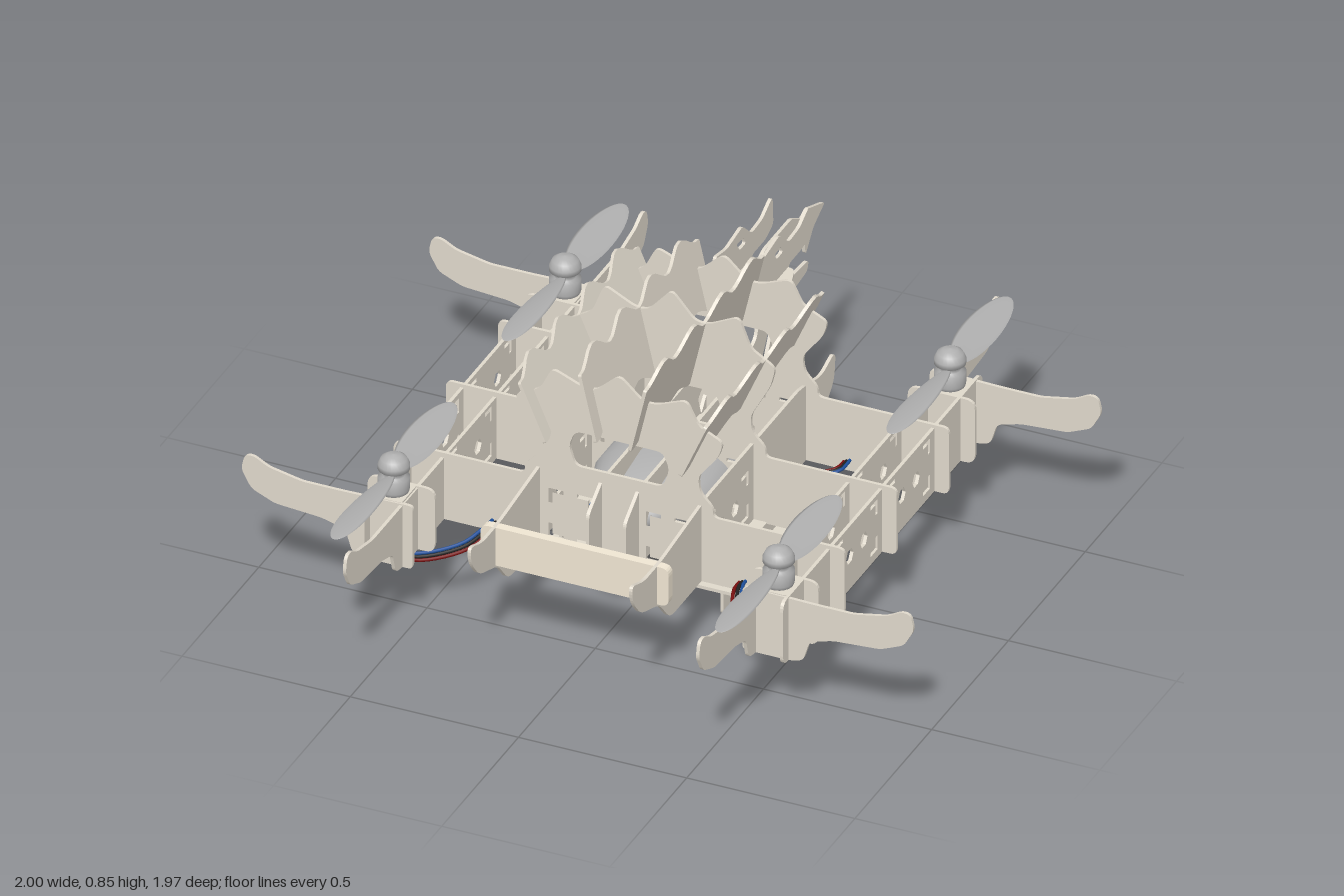
import * as THREE from 'three';

const mat = (color) => new THREE.MeshStandardMaterial({ color });
const wood = mat(0xdfd8cb), cream = mat(0xefe5d2), metal = mat(0xb0b0b0), dark = mat(0x555555);
const red = mat(0x7a1010), black = mat(0x222222), blue = mat(0x1c4f9c);
const T = 0.01;

// Closed outline with softened corners
function outline(pts, r = 0.015, Kind = THREE.Shape) {
  const s = new Kind();
  const v = pts.map((p) => new THREE.Vector2(...p));
  v.forEach((c, i) => {
    const a = v[(i + v.length - 1) % v.length], b = v[(i + 1) % v.length];
    const p = c.clone().lerp(a, Math.min(0.5, r / c.distanceTo(a)));
    const q = c.clone().lerp(b, Math.min(0.5, r / c.distanceTo(b)));
    if (i) s.lineTo(p.x, p.y); else s.moveTo(p.x, p.y);
    s.quadraticCurveTo(c.x, c.y, q.x, q.y);
  });
  s.closePath();
  return s;
}
const hole = (pts, r = 0.002) => outline(pts, r, THREE.Path);
const mirrorPts = (pts) => [...pts, ...pts.filter((p) => p[0] !== 0).reverse().map(([x, y]) => [-x, y])];

// Flat sheet: 'x' lies in zy, 'y' lies in xz, 'z' lies in xy
function sheet(name, pts, axis, at, { holes = [], r, t = T, m = wood } = {}) {
  const s = outline(pts, r);
  s.holes.push(...holes);
  const g = new THREE.ExtrudeGeometry(s, { depth: t, bevelEnabled: false, curveSegments: 5 });
  g.translate(0, 0, -t / 2);
  if (axis === 'x') g.rotateY(-Math.PI / 2);
  if (axis === 'y') g.rotateX(Math.PI / 2);
  const mesh = new THREE.Mesh(g, m);
  mesh.name = name;
  mesh.position[axis] = at;
  return mesh;
}
const rect = (a, b, c, d) => [[a, c], [b, c], [b, d], [a, d]];

// L-shaped corner slots and optional hexagons inside a window
function slots(a, b, c, d, hexes = true) {
  const out = [], L = 0.045, w = 0.012;
  for (const [x, sx] of [[a, 1], [b, -1]]) for (const [y, sy] of [[c, 1], [d, -1]]) {
    out.push(hole([[0, 0], [L, 0], [L, w], [w, w], [w, L], [0, L]].map(([u, v]) => [x + u * sx, y + v * sy])));
  }
  if (hexes) for (const f of [0.33, 0.67]) {
    out.push(hole(Array.from({ length: 6 }, (_, i) => [
      a + (b - a) * f + 0.024 * Math.cos(i * Math.PI / 3), (c + d) / 2 + 0.024 * Math.sin(i * Math.PI / 3)])));
  }
  return out;
}

function cable(name, pts, radius, m) {
  const curve = new THREE.CatmullRomCurve3(pts.map((p) => new THREE.Vector3(...p)));
  const mesh = new THREE.Mesh(new THREE.TubeGeometry(curve, 40, radius, 6), m);
  mesh.name = name;
  return mesh;
}

// Upswept claw edge shared by the corner plates, from tip to foot
const claw = [[0.7, 0.385], [0.82, 0.385], [0.92, 0.405], [0.965, 0.43], [0.99, 0.425], [1, 0.38], [0.97, 0.325],
  [0.9, 0.295], [0.76, 0.285], [0.69, 0.265], [0.67, 0.2], [0.63, 0.19]];

function propeller() {
  const g = new THREE.Group();
  g.name = 'rotor';
  for (const s of [0, 1]) {
    const geo = new THREE.SphereGeometry(1, 12, 20).rotateX(Math.PI / 2);
    const p = geo.attributes.position;
    for (let i = 0; i < p.count; i++) {
      const k = (p.getZ(i) + 1) / 2, a = 0.5 - 0.35 * k;
      const x = p.getX(i) * 0.05, y = p.getY(i) * 0.004;
      p.setXYZ(i, x * Math.cos(a) - y * Math.sin(a), x * Math.sin(a) + y * Math.cos(a), 0.02 + k * 0.365);
    }
    geo.computeVertexNormals();
    const blade = new THREE.Mesh(geo, metal);
    blade.name = 'propellerBlade';
    blade.rotation.y = s * Math.PI;
    blade.position.y = 0.45;
    g.add(blade);
  }
  const prof = [[0, 0.385], [0.04, 0.385], [0.044, 0.4], [0.044, 0.435], [0.03, 0.44], [0.03, 0.455], [0.044, 0.46],
    [0.044, 0.475], [0.036, 0.492], [0.02, 0.502], [0, 0.505]];
  const motor = new THREE.Mesh(new THREE.LatheGeometry(prof.map((p) => new THREE.Vector2(...p)), 24), metal);
  motor.name = 'motorAndSpinner';
  g.add(motor);
  return g;
}

export function createModel() {
  const model = new THREE.Group();
  const add = (...o) => model.add(...o);

  // Cross frames, each rising into a spiked arch over the back
  for (const [z, k] of [[-0.34, 0.8], [0, 1], [0.34, 0.8]]) {
    const crown = [[0, 0.86], [0.07, 0.78], [0.11, 0.78], [0.2, 0.825], [0.235, 0.735], [0.31, 0.69], [0.295, 0.63]]
      .map(([x, y]) => [x, 0.46 + (y - 0.46) * k]);
    const half = [...crown, [0.235, 0.52], [0.24, 0.47], [0.28, 0.43], [0.28, 0.4], [0.67, 0.4], [0.67, 0.19]];
    add(sheet('crossFrame', mirrorPts(half), 'z', z, {
      r: 0.02,
      holes: [hole([[-0.13, 0.46], [0.13, 0.46], [0.15, 0.52], [0.13, 0.57], [-0.13, 0.57], [-0.15, 0.52]], 0.02),
        ...slots(0.08, 0.21, 0.215, 0.37, false), ...slots(-0.21, -0.08, 0.215, 0.37, false)],
    }));
  }

  for (const s of [-1, 1]) {
    // Outer and inner side rails
    const windows = () => [...slots(0.035, 0.305, 0.215, 0.375), ...slots(-0.305, -0.035, 0.215, 0.375)];
    add(sheet('outerSideRail', rect(-0.65, 0.65, 0.19, 0.39), 'x', s * 0.622, { holes: windows(), r: 0.03 }));
    add(sheet('innerSideRail', mirrorPts(claw.map(([z, y]) => [z * 0.985, y])), 'x', s * 0.525, { holes: windows() }));

    // Hull sides with upturned ends, and landing skids
    add(sheet('hullSide', [[-0.36, 0.19], [0.55, 0.19], [0.62, 0.27], [0.74, 0.31], [0.79, 0.37], [0.8, 0.43],
      [0.72, 0.4], [0.6, 0.4], [0.3, 0.435], [-0.3, 0.435], [-0.44, 0.4], [-0.53, 0.43], [-0.52, 0.34], [-0.44, 0.27]],
    'x', s * 0.24, { r: 0.03, holes: slots(0.04, 0.3, 0.22, 0.37) }));
    add(sheet('landingSkid', rect(-0.21, 0.2, 0, 0.19), 'x', s * 0.24));

    // Neck and face plates sweeping up at the rear
    add(sheet('neckPlate', [[0.36, 0.19], [0.43, 0.25], [0.43, 0.37], [0.34, 0.43], [-0.3, 0.43], [-0.42, 0.48],
      [-0.45, 0.56], [-0.4, 0.63], [-0.395, 0.725], [-0.47, 0.71], [-0.57, 0.725], [-0.63, 0.67], [-0.7, 0.675],
      [-0.765, 0.71], [-0.77, 0.62], [-0.72, 0.6], [-0.63, 0.6], [-0.63, 0.55], [-0.76, 0.54], [-0.75, 0.51],
      [-0.66, 0.5], [-0.59, 0.42], [-0.53, 0.29], [-0.4, 0.19]], 'x', s * 0.055, {
      holes: [hole([[-0.53, 0.69], [-0.55, 0.66], [-0.59, 0.66], [-0.58, 0.685]], 0.01),
        hole([[-0.4, 0.27], [-0.47, 0.35], [-0.53, 0.46], [-0.5, 0.47], [-0.45, 0.39], [-0.39, 0.32]], 0.01),
        hole([[-0.3, 0.28], [-0.36, 0.35], [-0.35, 0.39], [-0.28, 0.34]], 0.01)],
    }));

    // Scalloped back plates, leaning outward
    for (const [x, y, h, tilt] of [[0.2, 0.535, 0.215, 0.41], [0.05, 0.575, 0.235, 0.226]]) {
      const top = [], bottom = [];
      for (let i = 0; i <= 32; i++) {
        const z = -0.38 + i * 0.77 / 32, c = Math.cos((z - 0.1) * 2 * Math.PI / 0.188);
        top.push([z, h + 0.024 * c]);
        bottom.unshift([z, 0.02 + 0.018 * c]);
      }
      const holder = new THREE.Group();
      holder.name = 'scallopedBackPlate';
      holder.position.set(s * x, y, 0);
      holder.rotation.z = -s * tilt;
      holder.add(sheet('backPlate', [...top, ...bottom], 'x', 0, { r: 0.006 }));
      add(holder);
    }

    // Corner claws, motor mounts, rotors and motor leads
    for (const e of [-1, 1]) {
      add(sheet('cornerClaw', [[0.49, 0.19], [0.49, 0.39], ...claw].map(([x, y]) => [x * s, y]), 'z', e * 0.61));
      add(sheet('mountPlate', rect(0.47, 0.67, 0.19, 0.39).map(([x, y]) => [x * s, y]), 'z', e * 0.51, { r: 0.03 }));
      add(sheet('motorSeat', rect(0.525, 0.622, 0.51, 0.61).map(([x, z]) => [x * s, z * e]), 'y', 0.385));
      const rotor = propeller();
      rotor.position.set(s * 0.572, 0, e * 0.558);
      add(rotor);
      [red, black, blue].forEach((m, i) => {
        const o = (i - 1) * 0.009;
        add(cable('motorLead', [[0.57, 0.38, 0.56], [0.57, 0.2, 0.555], [0.53, 0.172, 0.53], [0.41, 0.195, 0.46],
          [0.37, 0.22, 0.38], [0.36, 0.215, 0.29], [0.3, 0.21, 0.25], [0.2, 0.21, 0.245], [0.165, 0.215, 0.2],
          [0.16, 0.22, 0.08]].map(([x, y, z]) => [s * (x + o), y + o * 0.4, e * (z - o)]), 0.005, m));
      });
    }
  }

  // Head centre with pointed snout, and flared ear plate
  add(sheet('headCentre', [[-0.45, 0.49], [-0.46, 0.6], [-0.6, 0.65], [-0.77, 0.65], [-0.84, 0.61], [-0.87, 0.625],
    [-0.985, 0.582], [-0.91, 0.545], [-0.86, 0.485], [-0.85, 0.54], [-0.79, 0.525], [-0.68, 0.53], [-0.6, 0.49]],
  'x', 0, { r: 0.012, holes: [hole(rect(-0.76, -0.66, 0.57, 0.6), 0.01)] }));
  add(sheet('earPlate', mirrorPts([[0.08, -0.625], [0.1, -0.56], [0.16, -0.43], [0.13, -0.415], [0.055, -0.45]]),
    'y', 0.588, { r: 0.02 }));

  // Nose board, hull floor and battery tray
  add(sheet('noseBoard', rect(-0.28, 0.28, 0.28, 0.4), 'z', 0.622, { t: 0.026, r: 0.025, m: cream }));
  add(sheet('hullFloor', rect(-0.285, 0.285, -0.23, 0.23), 'y', 0.19));
  add(sheet('batteryTray', rect(-0.285, 0.285, -0.25, 0.22), 'y', 0.085));
  const battery = new THREE.Mesh(new THREE.BoxGeometry(0.205, 0.085, 0.36), dark);
  battery.name = 'battery';
  battery.position.set(0.042, 0.133, 0);
  add(battery);

  // Rounded pod inside the hull, with its rear tab
  const podProfile = [[0, -0.07], [0.17, -0.07], [0.185, -0.05], [0.185, 0.1], [0.15, 0.2], [0.08, 0.28], [0.05, 0.3], [0, 0.3]];
  const podGeo = new THREE.LatheGeometry(podProfile.map((p) => new THREE.Vector2(...p)), 32).rotateX(Math.PI / 2).scale(1, 0.5, 1);
  const pod = new THREE.Mesh(podGeo, metal);
  pod.name = 'innerPod';
  pod.position.y = 0.3;
  add(pod, sheet('podTab', rect(-0.038, 0.038, -0.27, -0.06), 'y', 0.3));

  // Battery leads looping beneath the floor
  [red, black].forEach((m, i) => add(cable('batteryLead', [[-0.01, 0.19, 0.2], [-0.015, 0.16, 0.26], [-0.04, 0.08, 0.28],
    [-0.06, 0.065, 0.25], [-0.07, 0.1, 0.22], [-0.05, 0.13, 0.17]].map(([x, y, z]) => [x - i * 0.012, y, z]), 0.007, m)));

  return model;
}
